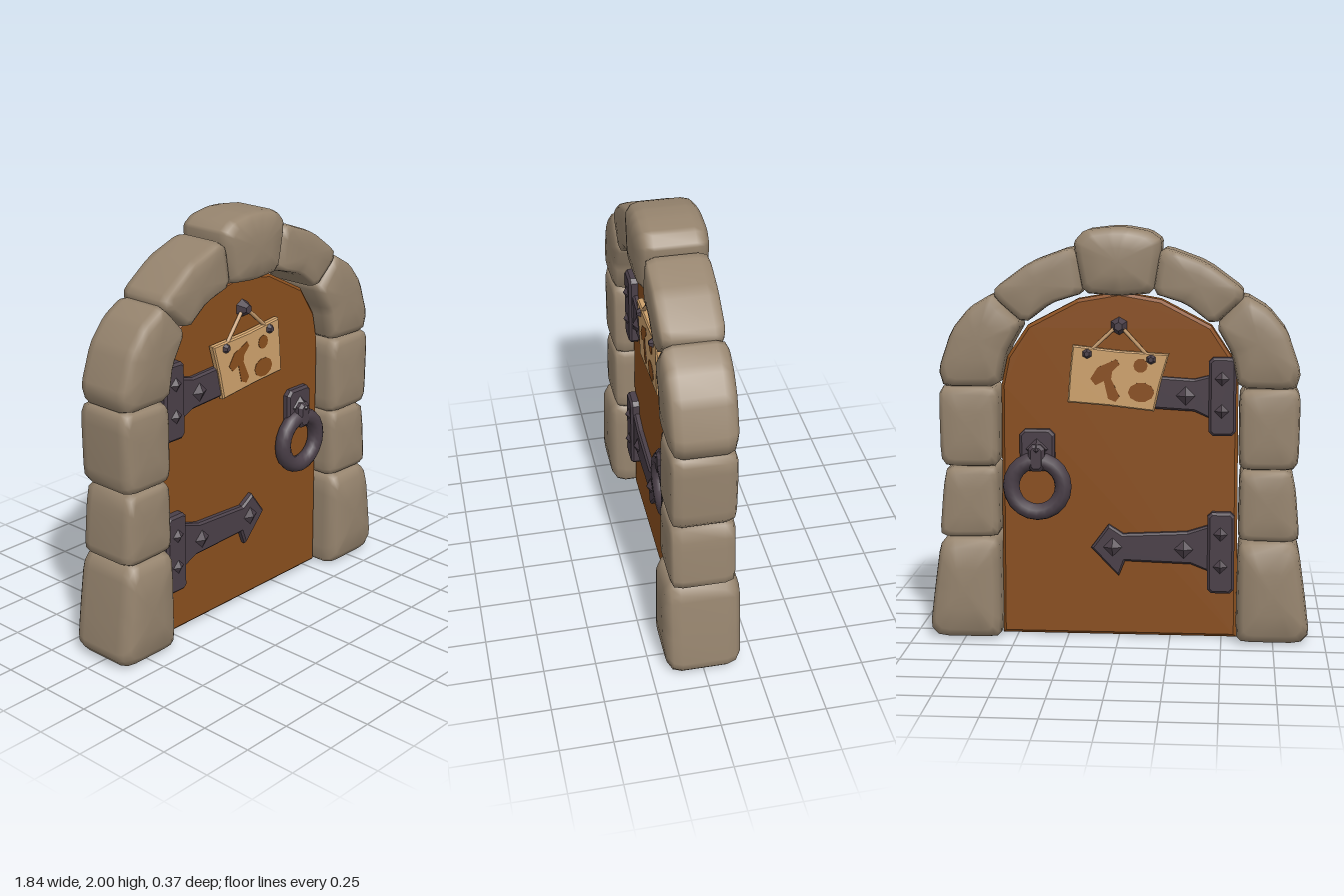
import * as THREE from 'three';

const mat = (name, color) => {
  const m = new THREE.MeshStandardMaterial({ color });
  m.name = name;
  return m;
};

export function createModel() {
  const root = new THREE.Group();
  root.name = 'archedDoor';
  const stone = mat('stone', 0x96846e);
  const wood = mat('wood', 0x8a4f1e);
  const iron = mat('iron', 0x4a3f48);
  const board = mat('signBoard', 0xcfa26c);
  const rope = mat('rope', 0xc49a6c);

  const add = (name, geo, material, parent = root) => {
    const m = new THREE.Mesh(geo, material);
    m.name = name;
    parent.add(m);
    return m;
  };
  const flat = (geo) => {
    const g = geo.toNonIndexed();
    g.computeVertexNormals();
    return g;
  };
  const vecs = (pts) => pts.map(([x, y]) => new THREE.Vector2(x, y));

  // Bevelled plate with the given outline, centred on z
  const slab = (pts, z, half, bevel) => {
    const g = new THREE.ExtrudeGeometry(new THREE.Shape(vecs(pts)), {
      depth: 2 * (half - bevel), bevelEnabled: bevel > 0, bevelThickness: bevel,
      bevelSize: bevel, bevelOffset: -bevel, bevelSegments: 1,
    });
    return g.translate(0, 0, z - half + bevel);
  };
  // Rectangle with cut corners
  const plate = (x0, y0, x1, y1, c) => [
    [x0 + c, y0], [x1 - c, y0], [x1, y0 + c], [x1, y1 - c],
    [x1 - c, y1], [x0 + c, y1], [x0, y1 - c], [x0, y0 + c],
  ];

  // Pillow-shaped stone: outline lofted through z, edge depth e, bulging to depth d
  const stoneGeo = (pts, e, d) => {
    let o = vecs(pts);
    if (THREE.ShapeUtils.isClockWise(o)) o.reverse();
    // soften the corners
    o = o.flatMap((p, i) => {
      const q = o[(i + 1) % o.length];
      return [p.clone().lerp(q, 0.15), p.clone().lerp(q, 0.85)];
    });
    const box = new THREE.Box2().setFromPoints(o);
    const c = box.getCenter(new THREE.Vector2());
    const half = [[e * 0.72, 1], [e, 0.95], [e + (d - e) * 0.7, 0.8], [d, 0.4]];
    const rings = [...half.map(([z, s]) => [-z, s]).reverse(), ...half];
    const n = o.length, pos = [], idx = [];
    for (const [z, s] of rings)
      for (const p of o) pos.push(c.x + (p.x - c.x) * s, c.y + (p.y - c.y) * s, z);
    const back = pos.length / 3, front = back + 1, last = (rings.length - 1) * n;
    pos.push(c.x, c.y, -d, c.x, c.y, d);
    for (let i = 0; i < n; i++) {
      const j = (i + 1) % n;
      for (let r = 0; r < rings.length - 1; r++) {
        const a = r * n + i, b = r * n + j;
        idx.push(a, b, b + n, a, b + n, a + n);
      }
      idx.push(back, j, i, front, last + i, last + j);
    }
    const g = new THREE.BufferGeometry();
    g.setAttribute('position', new THREE.Float32BufferAttribute(pos, 3));
    g.setIndex(idx);
    g.computeVertexNormals();
    return g;
  };

  // Stone frame: pillar and arch stones on both sides
  const sideStones = [
    ['baseStone', 0.15, 0.187, [[0.6, 0], [0.88, 0], [0.925, 0.05], [0.9, 0.25], [0.87, 0.46], [0.83, 0.51], [0.6, 0.505], [0.575, 0.46], [0.57, 0.03]]],
    ['lowerPillarStone', 0.14, 0.157, [[0.59, 0.505], [0.83, 0.5], [0.87, 0.52], [0.85, 0.75], [0.83, 0.85], [0.6, 0.855], [0.58, 0.82], [0.575, 0.54]]],
    ['upperPillarStone', 0.14, 0.157, [[0.6, 0.85], [0.83, 0.85], [0.86, 0.89], [0.865, 1.2], [0.84, 1.245], [0.6, 1.24], [0.575, 1.2], [0.575, 0.88]]],
    ['lowerArchStone', 0.135, 0.16, [[0.57, 1.24], [0.84, 1.235], [0.865, 1.32], [0.8, 1.51], [0.71, 1.62], [0.6, 1.685], [0.56, 1.65], [0.46, 1.54], [0.54, 1.4]]],
    ['upperArchStone', 0.135, 0.152, [[0.45, 1.54], [0.59, 1.66], [0.59, 1.71], [0.42, 1.835], [0.23, 1.905], [0.19, 1.88], [0.16, 1.69], [0.32, 1.64]]],
  ];
  for (const [name, e, d, pts] of sideStones)
    for (const s of [1, -1])
      add(name + (s > 0 ? 'Left' : 'Right'), stoneGeo(pts.map(([x, y]) => [x * s, y]), e, d), stone);
  add('keystone', stoneGeo([[-0.17, 1.69], [0, 1.675], [0.17, 1.69], [0.205, 1.87], [0.21, 1.93],
    [0.16, 1.985], [0.04, 2], [-0.04, 2], [-0.15, 1.98], [-0.205, 1.94], [-0.2, 1.87]], 0.135, 0.17), stone);

  // Door leaf
  const arch = [[0.57, 1.24], [0.54, 1.38], [0.44, 1.53], [0.2, 1.655]];
  add('doorLeaf', slab([[-0.575, 0.005], [0.575, 0.005], ...arch, [0, 1.69],
    ...arch.map(([x, y]) => [-x, y]).reverse()], 0, 0.055, 0.015), wood);

  // Fittings on both faces
  for (const side of [1, -1]) {
    const g = new THREE.Group();
    g.name = side > 0 ? 'frontFittings' : 'backFittings';
    root.add(g);
    const put = (name, pts, z, half, bevel, m) => add(name, slab(pts, side * z, half, bevel), m, g);
    const rivet = (x, y, z, r, h, sides = 4) => {
      const geo = sides === 4 ? new THREE.ConeGeometry(r, h, 4)
        : new THREE.CylinderGeometry(r * 0.45, r, h, sides);
      add('rivet', flat(geo).rotateX(side * Math.PI / 2).translate(x, y, side * (z + h / 2)), iron, g);
    };

    // Hinges
    put('upperHingePlate', plate(-0.56, 1.01, -0.43, 1.385, 0.02), 0.065, 0.035, 0.012, iron);
    put('lowerHingePlate', plate(-0.56, 0.235, -0.43, 0.635, 0.02), 0.065, 0.035, 0.012, iron);
    put('upperHingeStrap', [[-0.44, 1.09], [-0.36, 1.125], [-0.1, 1.14], [-0.1, 1.28], [-0.2, 1.29],
      [-0.36, 1.28], [-0.44, 1.3]], 0.06, 0.022, 0.01, iron);
    put('lowerHingeStrap', [[-0.44, 0.34], [-0.35, 0.375], [-0.03, 0.385], [0, 0.31], [0.135, 0.45],
      [0.05, 0.565], [-0.02, 0.52], [-0.33, 0.535], [-0.44, 0.57]], 0.06, 0.026, 0.01, iron);
    for (const y of [0.37, 0.53, 1.13, 1.285]) rivet(-0.492, y, 0.098, 0.038, 0.022);
    rivet(-0.32, 1.2, 0.08, 0.05, 0.025);
    rivet(-0.315, 0.45, 0.084, 0.05, 0.025);
    rivet(0.03, 0.455, 0.084, 0.05, 0.025);

    // Ring handle
    put('handlePlate', plate(0.31, 0.825, 0.48, 1.03, 0.025), 0.065, 0.025, 0.012, iron);
    put('handleLug', plate(0.355, 0.83, 0.435, 0.96, 0.02), 0.09, 0.04, 0.015, iron);
    rivet(0.395, 0.935, 0.088, 0.055, 0.055);
    add('handleRing', new THREE.TorusGeometry(0.127, 0.041, 10, 20).translate(0.395, 0.753, side * 0.09), iron, g);

    // Hanging sign with rope and nails
    put('signBoard', [[-0.17, 1.125], [0.05, 1.15], [0.245, 1.165], [0.235, 1.3], [0.22, 1.44],
      [0, 1.415], [-0.24, 1.4], [-0.2, 1.26]], 0.078, 0.018, 0.007, board);
    for (const [x, y] of [[-0.155, 1.375], [0.15, 1.4]]) {
      const path = new THREE.LineCurve3(new THREE.Vector3(0, 1.54, side * 0.068), new THREE.Vector3(x, y, side * 0.088));
      add('signRope', new THREE.TubeGeometry(path, 1, 0.01, 6), rope, g);
      rivet(x, y, 0.09, 0.028, 0.025, 6);
    }
    rivet(0, 1.53, 0.05, 0.046, 0.05, 6);

    // Painted blotches on the sign
    const mark = (pts) => put('signMark', pts.map(([x, y]) => [x * side, y]), 0.0965, 0.0015, 0, wood);
    const blob = (cx, cy, rx, ry) => Array.from({ length: 10 }, (_, i) => {
      const a = i * Math.PI / 5;
      return [cx + rx * Math.cos(a), cy + ry * Math.sin(a)];
    });
    mark([[-0.135, 1.28], [-0.1, 1.335], [-0.01, 1.375], [0.005, 1.35], [-0.03, 1.315], [-0.035, 1.28],
      [0.005, 1.195], [-0.015, 1.17], [-0.05, 1.185], [-0.07, 1.27], [-0.11, 1.25]]);
    mark(blob(0.105, 1.345, 0.034, 0.034));
    mark(blob(0.108, 1.217, 0.063, 0.047));
  }
  return root;
}
